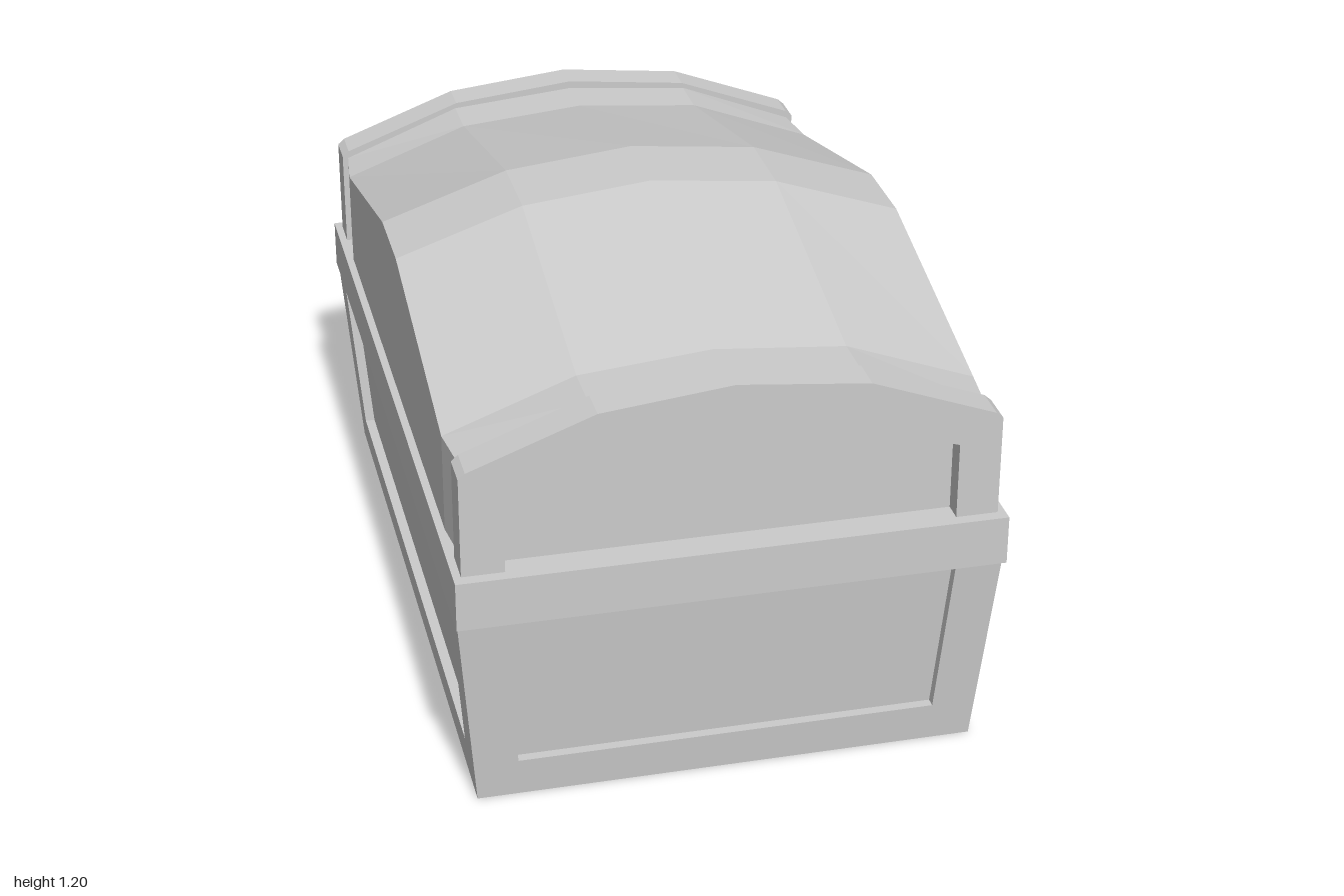
import * as THREE from 'three';

const CX = -0.035; // the chest sits slightly off centre because of the latch
const RIM_Y = 0.525, LID_Y = 0.65;

const material = new THREE.MeshStandardMaterial({ color: 0xcccccc, flatShading: true });

function addMesh(parent, name, geometry, x = 0, y = 0, z = 0) {
  const mesh = new THREE.Mesh(geometry, material);
  mesh.name = name;
  mesh.position.set(x, y, z);
  parent.add(mesh);
  return mesh;
}

// Flat-shaded geometry from a list of counter-clockwise quads
function quadGeometry(quads) {
  const pos = [];
  for (const [a, b, c, d] of quads) pos.push(...a, ...b, ...c, ...a, ...c, ...d);
  const g = new THREE.BufferGeometry();
  g.setAttribute('position', new THREE.Float32BufferAttribute(pos, 3));
  g.computeVertexNormals();
  return g;
}

// Tapered body: each of the four walls has a sunken panel open towards the rim
function bodyGeometry() {
  const quads = [];
  const halfX = y => 0.617 + 0.043 * y / RIM_Y;
  const halfZ = y => 0.93 + 0.05 * y / RIM_Y;
  const yp = 0.1, depth = 0.025;
  for (let k = 0; k < 4; k++) {
    const a = k * Math.PI / 2, c = Math.cos(a), s = Math.sin(a);
    const wide = k % 2 === 1;
    const half = wide ? halfZ : halfX, dist = wide ? halfX : halfZ;
    const [panelLow, panelHigh] = wide ? [0.82, 0.855] : [0.517, 0.545];
    const P = (u, y, inset = 0) => {
      const d = dist(y) - inset;
      return [u * c + d * s, y, -u * s + d * c];
    };
    const T = RIM_Y, o0 = half(0), o1 = half(T);
    // bottom rail and corner posts
    quads.push([P(-o0, 0), P(o0, 0), P(panelLow, yp), P(-panelLow, yp)]);
    quads.push([P(-o0, 0), P(-panelLow, yp), P(-panelHigh, T), P(-o1, T)]);
    quads.push([P(o0, 0), P(o1, T), P(panelHigh, T), P(panelLow, yp)]);
    // sunken panel and its reveals
    quads.push([P(-panelLow, yp, depth), P(panelLow, yp, depth), P(panelHigh, T, depth), P(-panelHigh, T, depth)]);
    quads.push([P(-panelLow, yp), P(panelLow, yp), P(panelLow, yp, depth), P(-panelLow, yp, depth)]);
    quads.push([P(-panelLow, yp), P(-panelLow, yp, depth), P(-panelHigh, T, depth), P(-panelHigh, T)]);
    quads.push([P(panelLow, yp), P(panelHigh, T), P(panelHigh, T, depth), P(panelLow, yp, depth)]);
  }
  const x = halfX(0), z = halfZ(0);
  quads.push([[-x, 0, -z], [x, 0, -z], [x, 0, z], [-x, 0, z]]);
  return quadGeometry(quads);
}

// Faceted lid lofted along z, swelling towards the middle
function lidGeometry() {
  const half = [ // z, half width, edge, shoulder and ridge heights
    [0.88, 0.63, 0.9, 1.02, 1.05],
    [0.75, 0.645, 0.9, 1.02, 1.05],
    [0.11, 0.645, 1.055, 1.165, 1.2],
  ];
  const stations = [...half.map(([z, ...r]) => [-z, ...r]), ...half.slice().reverse()];
  const rows = stations.map(([z, w, e, s, p]) => [
    [-w, LID_Y, z], [-w, e, z], [-0.325, s, z], [0, p, z], [0.325, s, z], [w, e, z], [w, LID_Y, z],
  ]);
  const quads = [];
  for (let j = 0; j < rows.length - 1; j++)
    for (let i = 0; i < 6; i++)
      quads.push([rows[j][i], rows[j + 1][i], rows[j + 1][i + 1], rows[j][i + 1]]);
  return quadGeometry(quads);
}

const mirrored = pts => [...pts, ...pts.slice(0, -1).reverse().map(([x, y]) => [-x, y])]
  .map(([x, y]) => new THREE.Vector2(x, y));

function extrude(shape, depth) {
  return new THREE.ExtrudeGeometry(shape, { depth, bevelEnabled: false });
}

// Arched end of the lid: a raised frame in front of a solid backing
function addLidEnd(parent, name, turn) {
  const end = new THREE.Group();
  end.name = name;
  const outer = mirrored([[0.645, LID_Y], [0.645, 0.905], [0.628, 0.92], [0.322, 1.035], [0, 1.07]]);
  const inner = mirrored([[0.542, LID_Y], [0.542, 0.845], [0.28, 0.925], [0, 0.955]]);
  // the frame is an arch, open along the rim
  addMesh(end, 'archFrame', extrude(new THREE.Shape([...outer, ...inner.slice().reverse()]), 0.05), 0, 0, 0.92);
  addMesh(end, 'archPanel', extrude(new THREE.Shape(outer), 0.04), 0, 0, 0.88);
  end.rotation.y = turn;
  parent.add(end);
}

export function createModel() {
  const model = new THREE.Group();
  model.name = 'chest';

  const chest = new THREE.Group();
  chest.name = 'chestShell';
  chest.position.x = CX;
  model.add(chest);

  addMesh(chest, 'body', bodyGeometry());
  addMesh(chest, 'rim', new THREE.BoxGeometry(1.328, LID_Y - RIM_Y, 2), 0, (LID_Y + RIM_Y) / 2, 0);
  addMesh(chest, 'lid', lidGeometry());
  addLidEnd(chest, 'frontLidEnd', 0);
  addLidEnd(chest, 'backLidEnd', Math.PI);

  // Latch on the left side
  addMesh(model, 'latch', new THREE.BoxGeometry(0.1, 0.255, 0.22), 0.65, 0.6525, 0);

  return model;
}
